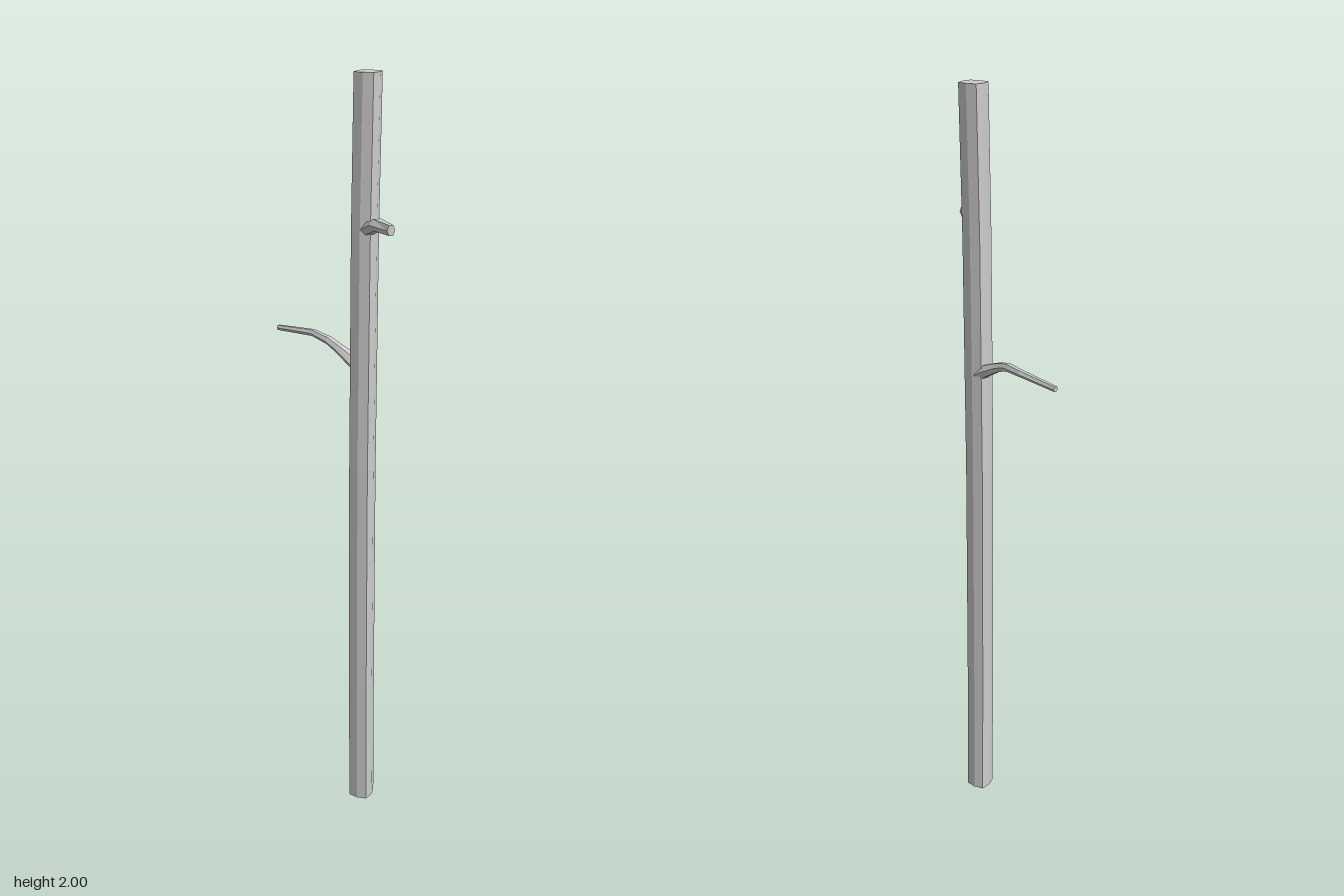
import * as THREE from 'three';

const material = new THREE.MeshStandardMaterial({ color: 0xcccccc, flatShading: true });

// Skin a list of rings (each an array of Vector3, counter-clockwise about the path) and cap both ends
function loft(name, rings) {
  const n = rings[0].length;
  const positions = [];
  const tri = (...pts) => pts.forEach((p) => positions.push(p.x, p.y, p.z));
  for (let i = 0; i < rings.length - 1; i++) {
    for (let j = 0; j < n; j++) {
      const k = (j + 1) % n;
      const a = rings[i][j], b = rings[i][k], c = rings[i + 1][k], d = rings[i + 1][j];
      tri(a, b, c);
      tri(a, c, d);
    }
  }
  const first = rings[0], last = rings[rings.length - 1];
  for (let j = 1; j < n - 1; j++) {
    tri(first[0], first[j + 1], first[j]);
    tri(last[0], last[j], last[j + 1]);
  }
  const geometry = new THREE.BufferGeometry();
  geometry.setAttribute('position', new THREE.Float32BufferAttribute(positions, 3));
  geometry.computeVertexNormals();
  const mesh = new THREE.Mesh(geometry, material);
  mesh.name = name;
  return mesh;
}

// Upright pole with a rounded-square section: four corners and slightly bulged sides
function makeTrunk() {
  // y, centre x, centre z
  const levels = [
    [0, 0.088, -0.009],
    [0.36, 0.088, -0.003],
    [1.0, 0.087, 0.001],
    [1.62, 0.087, -0.002],
    [2, 0.088, -0.01],
  ];
  const rings = levels.map(([y, cx, cz]) => {
    const ring = [];
    for (let j = 0; j < 8; j++) {
      const a = (j / 8) * Math.PI * 2;
      const r = j % 2 ? 0.0365 : 0.031;
      ring.push(new THREE.Vector3(cx + Math.sin(a) * r, y, cz + Math.cos(a) * r));
    }
    return ring;
  });
  return loft('trunk', rings);
}

// Tapering six-sided branch; each stop is x, y, z, width, height
function makeBranch(name, stops) {
  const points = stops.map(([x, y, z]) => new THREE.Vector3(x, y, z));
  const up = new THREE.Vector3(0, 1, 0);
  const rings = stops.map(([, , , w, h], i) => {
    const before = points[Math.max(i - 1, 0)];
    const after = points[Math.min(i + 1, points.length - 1)];
    const tangent = after.clone().sub(before).normalize();
    const side = tangent.clone().cross(up).normalize();
    const rise = side.clone().cross(tangent);
    const ring = [];
    for (let j = 0; j < 6; j++) {
      const a = ((j + 0.5) / 6) * Math.PI * 2;
      ring.push(points[i].clone()
        .addScaledVector(rise, Math.cos(a) * h * 0.577)
        .addScaledVector(side, Math.sin(a) * w * 0.5));
    }
    return ring;
  });
  return loft(name, rings);
}

export function createModel() {
  const group = new THREE.Group();
  group.name = 'branchingPole';
  group.add(
    makeTrunk(),
    makeBranch('longBranch', [
      [0.085, 1.268, -0.006, 0.05, 0.036],
      [0.055, 1.286, -0.012, 0.044, 0.03],
      [0.008, 1.308, -0.026, 0.029, 0.022],
      [-0.03, 1.321, -0.043, 0.026, 0.019],
      [-0.092, 1.326, -0.076, 0.022, 0.016],
      [-0.21, 1.318, -0.106, 0.015, 0.013],
    ]),
    makeBranch('shortBranch', [
      [0.092, 1.627, 0.004, 0.042, 0.03],
      [0.108, 1.636, 0.018, 0.042, 0.029],
      [0.145, 1.655, 0.055, 0.042, 0.028],
      [0.202, 1.656, 0.105, 0.021, 0.025],
    ]),
  );
  return group;
}
